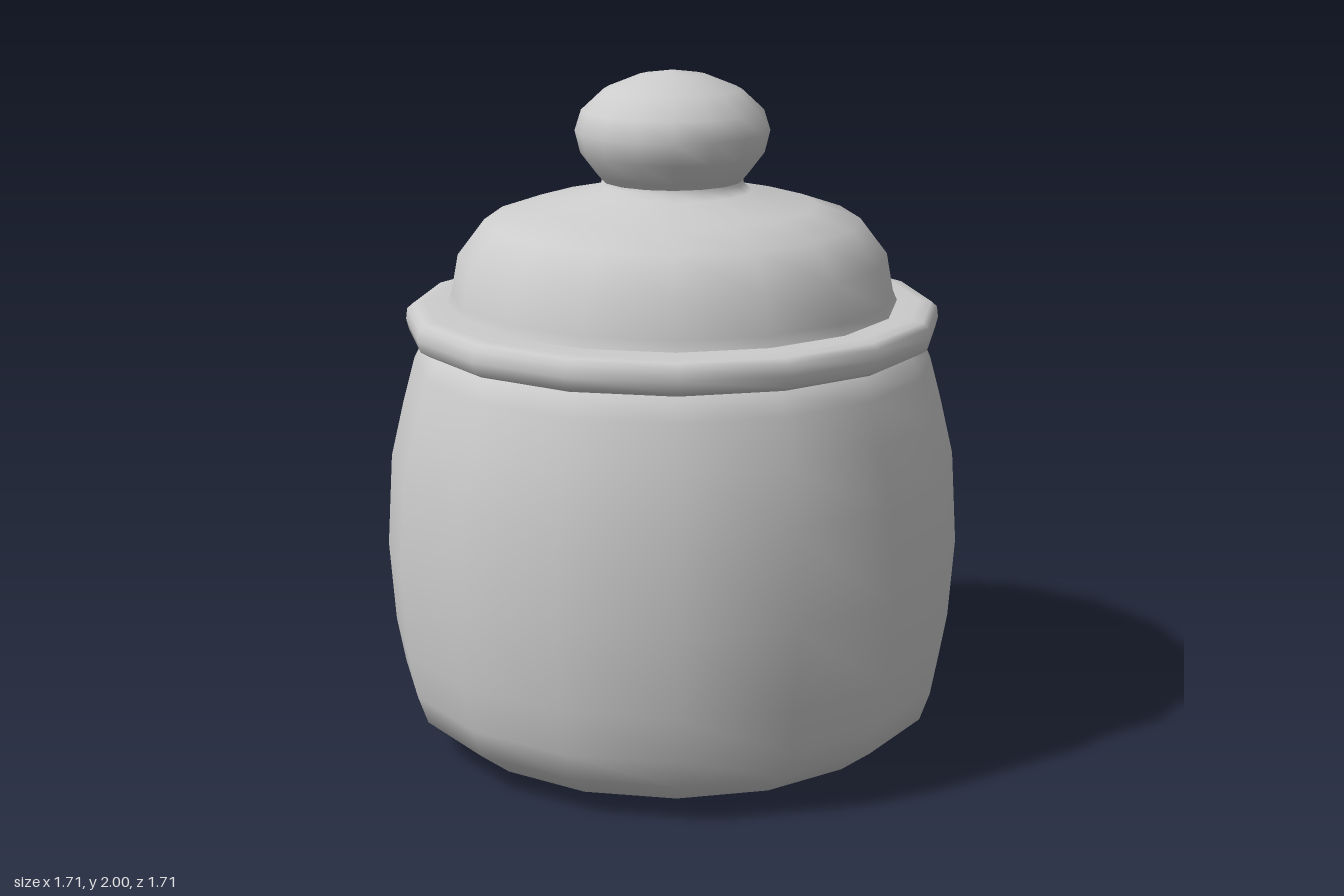
import * as THREE from 'three';

const SIDES = 16;

// Turned part from [radius, height] pairs, listed from bottom to top
function turned(name, profile) {
  const points = profile.map(([r, y]) => new THREE.Vector2(r, y));
  const mesh = new THREE.Mesh(
    new THREE.LatheGeometry(points, SIDES),
    new THREE.MeshStandardMaterial({ color: 0xcccccc, side: THREE.DoubleSide })
  );
  mesh.name = name;
  return mesh;
}

export function createModel() {
  const group = new THREE.Group();
  group.name = 'lidded jar';

  // Bulging pot with a rounded foot
  group.add(turned('pot', [
    [0, 0], [0.52, 0.003], [0.68, 0.035], [0.785, 0.115], [0.815, 0.2], [0.84, 0.335],
    [0.857, 0.575], [0.84, 0.85], [0.8, 1.02], [0.765, 1.15], [0.74, 1.2], [0.71, 1.225],
  ]));

  // Rounded flange of the lid
  group.add(turned('lidRim', [
    [0, 1.22], [0.7, 1.22], [0.755, 1.222], [0.778, 1.236], [0.786, 1.268],
    [0.782, 1.3], [0.765, 1.315], [0.73, 1.32], [0.64, 1.32],
  ]));

  // Domed lid
  group.add(turned('lidDome', [
    [0.665, 1.315], [0.65, 1.35], [0.63, 1.46], [0.55, 1.565], [0.42, 1.61],
    [0.23, 1.652], [0.208, 1.672], [0.205, 1.69],
  ]));

  // Flattened round knob on a short neck
  group.add(turned('knob', [
    [0.205, 1.68], [0.222, 1.7], [0.268, 1.76], [0.284, 1.825], [0.265, 1.885],
    [0.2, 1.945], [0.1, 1.985], [0, 2],
  ]));

  return group;
}
